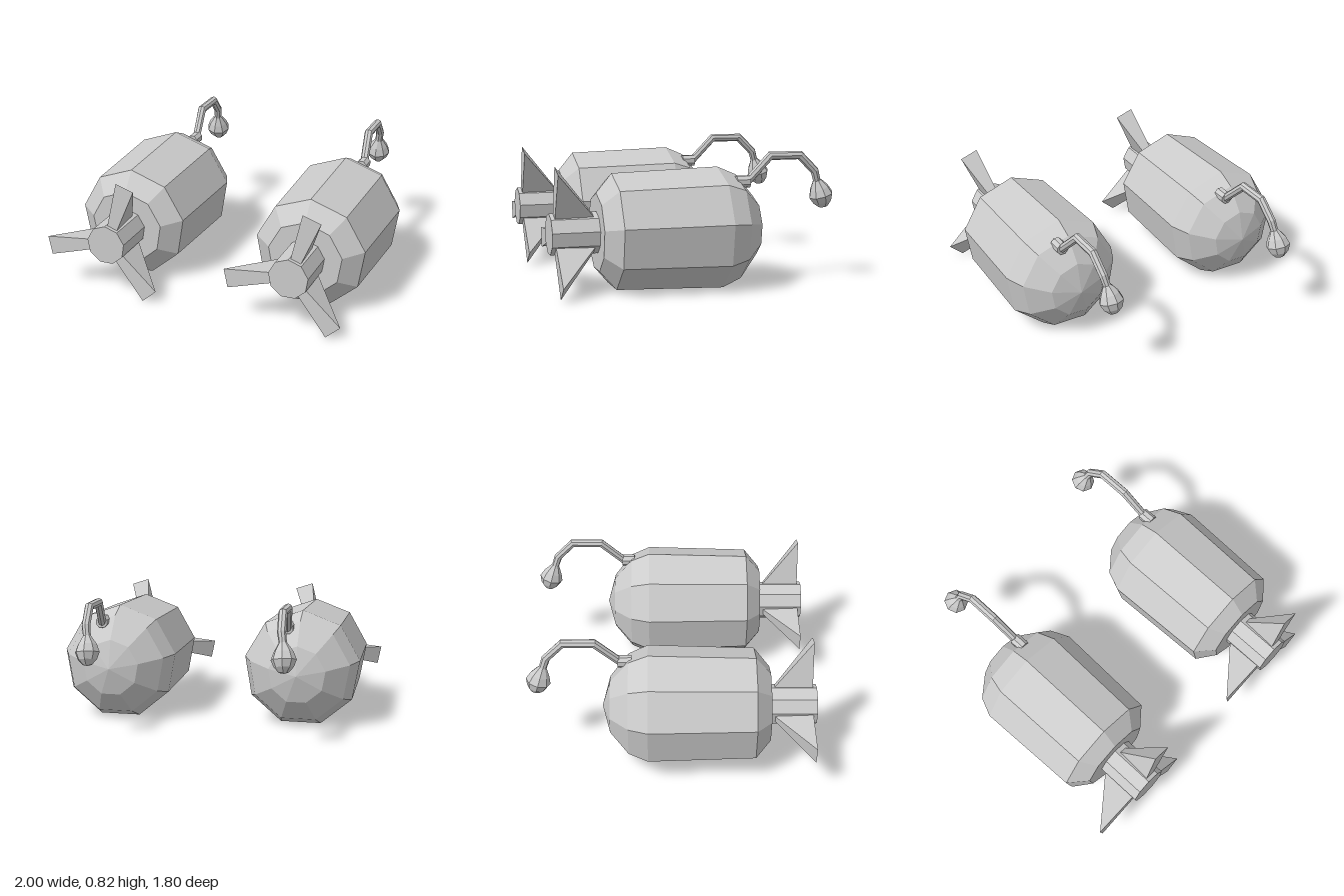
import * as THREE from 'three';

const material = new THREE.MeshStandardMaterial({ color: 0xcccccc, flatShading: true });

function part(name, geometry) {
  const mesh = new THREE.Mesh(geometry, material);
  mesh.name = name;
  return mesh;
}

// Faceted solid of revolution around z, from [radius, z] pairs running back to front
function turned(profile, sides, phase) {
  const points = profile.map(([r, z]) => new THREE.Vector2(r, z));
  return new THREE.LatheGeometry(points, sides, THREE.MathUtils.degToRad(phase + 90)).rotateX(Math.PI / 2);
}

// Sweep of rings along a bent path, from [x, y, z, radius] stations
function swept(stations, sides) {
  const centres = stations.map(([x, y, z]) => new THREE.Vector3(x, y, z));
  const positions = [], index = [];
  const last = stations.length - 1;
  stations.forEach((s, i) => {
    const before = centres[i].clone().sub(centres[Math.max(i - 1, 0)]).normalize();
    const after = centres[Math.min(i + 1, last)].clone().sub(centres[i]).normalize();
    const tangent = before.add(after).normalize();
    const up = tangent.clone().cross(new THREE.Vector3(1, 0, 0)).normalize();
    const side = up.clone().cross(tangent);
    for (let k = 0; k < sides; k++) {
      const a = (k / sides) * Math.PI * 2;
      const p = centres[i].clone()
        .addScaledVector(side, Math.cos(a) * s[3])
        .addScaledVector(up, Math.sin(a) * s[3]);
      positions.push(p.x, p.y, p.z);
      if (i < last) {
        const b = i * sides + k, c = i * sides + ((k + 1) % sides);
        index.push(b, b + sides, c, c, b + sides, c + sides);
      }
    }
  });
  const geometry = new THREE.BufferGeometry();
  geometry.setAttribute('position', new THREE.Float32BufferAttribute(positions, 3));
  // Orient the side faces outward: side x up points against the tangent
  for (let i = 0; i < index.length; i += 3) {
    const [a, b, c] = [0, 1, 2].map((j) => new THREE.Vector3().fromArray(positions, index[i + j] * 3));
    const normal = b.clone().sub(a).cross(c.clone().sub(a));
    const ring = Math.floor(Math.min(index[i], index[i + 1], index[i + 2]) / sides);
    const middle = centres[ring].clone().add(centres[ring + 1]).multiplyScalar(0.5);
    const out = a.add(b).add(c).divideScalar(3).sub(middle);
    if (normal.dot(out) < 0) [index[i + 1], index[i + 2]] = [index[i + 2], index[i + 1]];
  }
  geometry.setIndex(index);
  geometry.computeVertexNormals();
  return geometry;
}

// Wedge fin: narrow root at its inner end, wide flat face at the outer end
function finGeometry() {
  const geometry = new THREE.BoxGeometry(1, 1, 1);
  const p = geometry.attributes.position;
  for (let i = 0; i < p.count; i++) {
    const wide = p.getZ(i) > 0, tip = p.getX(i) > 0;
    const radius = tip ? (wide ? 0.418 : 0.122) : 0.1;
    const width = wide ? (tip ? 0.122 : 0.065) : 0.045;
    p.setXYZ(i, radius, p.getY(i) * width, wide ? 0.875 : 0.64);
  }
  geometry.computeVertexNormals();
  return geometry;
}

function createPod() {
  const pod = new THREE.Group();
  pod.name = 'pod';

  // Hull with rounded nose and bevelled tail
  pod.add(part('hull', turned([
    [0, -0.433], [0.183, -0.385], [0.324, -0.27], [0.376, -0.15],
    [0.356, 0.515], [0.24, 0.61], [0, 0.61],
  ], 9, 10.5)));

  // Tail tube
  pod.add(part('tailTube', turned([[0, 0.6], [0.127, 0.6], [0.127, 0.9], [0, 0.9]], 9, 10.5)));

  // Three tail fins
  for (let i = 0; i < 3; i++) {
    const fin = part('tailFin', finGeometry());
    fin.rotation.z = THREE.MathUtils.degToRad(71.5 + i * 120);
    pod.add(fin);
  }

  // Collar where the stalk leaves the hull
  const collar = part('stalkCollar', turned([[0, -0.335], [0.039, -0.335], [0.039, -0.25], [0, -0.25]], 8, 22.5));
  collar.position.set(0.07, 0.287, 0);
  pod.add(collar);

  // Bent stalk
  pod.add(part('stalk', swept([
    [0.072, 0.265, -0.3, 0.026], [0.045, 0.437, -0.478, 0.028], [0.045, 0.437, -0.672, 0.028],
    [0.036, 0.335, -0.775, 0.027], [0.022, 0.26, -0.8, 0.024],
  ], 8)));

  // Teardrop bulb on the stalk end
  pod.add(part('bulb', swept([
    [0.025, 0.275, -0.796, 0.026], [0.018, 0.225, -0.814, 0.06], [0.014, 0.18, -0.828, 0.078],
    [0.011, 0.138, -0.84, 0.06], [0.009, 0.107, -0.848, 0.03], [0.008, 0.1, -0.85, 0.0001],
  ], 8)));
  return pod;
}

export function createModel() {
  const model = new THREE.Group();
  model.name = 'podPair';
  for (const x of [-0.58, 0.625]) {
    const pod = createPod();
    pod.position.set(x, 0.369, 0);
    model.add(pod);
  }
  return model;
}
